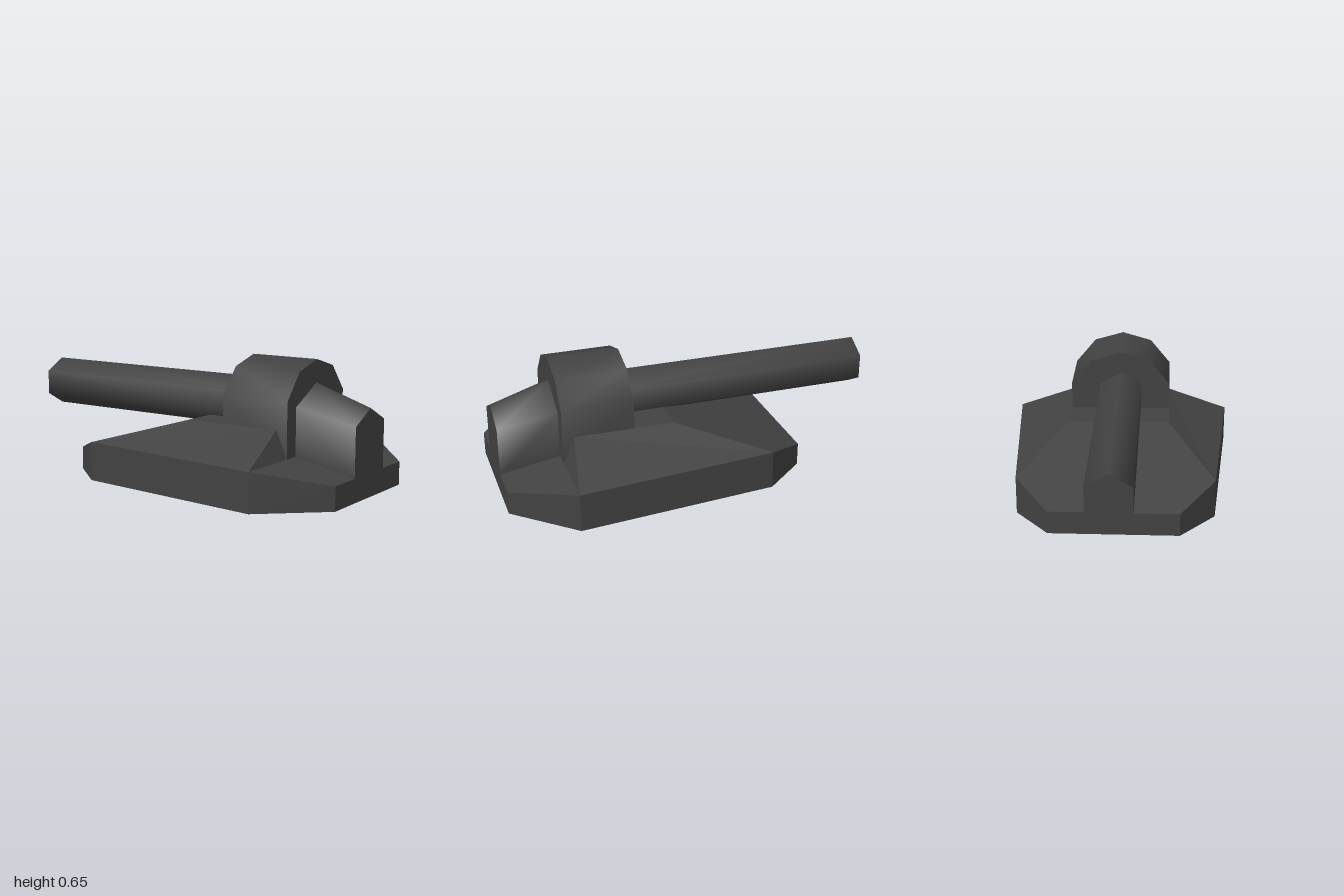
import * as THREE from 'three';
import { toCreasedNormals } from 'three/addons/utils/BufferGeometryUtils.js';

// Half a section (+x side) completed with its mirror image.
const mirrored = (half) => [...half, ...half.map(([x, y, z]) => [-x, y, z]).reverse()];
// Half a profile placed at depth z.
const at = (profile, z) => mirrored(profile.map(([x, y]) => [x, y, z]));

// Skin mirrored loops into a capped solid.
function loft(loops, crease) {
  const pos = [];
  const tri = (a, b, c) => {
    const [A, B, C] = [a, b, c].map((p) => new THREE.Vector3(...p));
    if (B.clone().sub(A).cross(C.clone().sub(A)).length() > 1e-7) pos.push(...a, ...b, ...c);
  };
  const n = loops[0].length;
  for (let s = 0; s < loops.length - 1; s++) {
    const a = loops[s], b = loops[s + 1];
    for (let i = 0; i < n; i++) {
      const j = (i + 1) % n;
      if (i < n / 2) { // diagonals mirror across the centre
        tri(a[i], a[j], b[i]);
        tri(a[j], b[j], b[i]);
      } else {
        tri(a[i], a[j], b[j]);
        tri(a[i], b[j], b[i]);
      }
    }
  }
  const first = loops[0], last = loops[loops.length - 1];
  for (let i = 0; i < n / 2 - 1; i++) {
    const k = n - 1 - i;
    tri(last[i], last[i + 1], last[k - 1]);
    tri(last[i], last[k - 1], last[k]);
    tri(first[i], first[k - 1], first[i + 1]);
    tri(first[i], first[k], first[k - 1]);
  }
  const g = new THREE.BufferGeometry();
  g.setAttribute('position', new THREE.Float32BufferAttribute(pos, 3));
  g.computeVertexNormals();
  return crease ? toCreasedNormals(g, crease) : g;
}

export function createModel() {
  const group = new THREE.Group();
  const metal = new THREE.MeshStandardMaterial({ color: 0x424242 });
  metal.name = 'dark gunmetal';
  const add = (name, geometry) => {
    const mesh = new THREE.Mesh(geometry, metal);
    mesh.name = name;
    group.add(mesh);
  };

  // Eight-sided base rising to a raised plateau
  const rim = [[0.33, 0.12, 1], [0.6, 0.197, 0.7], [0.51, 0.2, -0.33], [0.33, 0.12, -0.55]];
  const foot = rim.map(([x, , z]) => [x, 0, z]);
  const plateau = [[0.27, 0.197, 0.7], [0.27, 0.333, 0.64], [0.27, 0.33, 0.12], [0.27, 0.33, 0.12]];
  add('base', loft([foot, rim, plateau].map(mirrored)));

  // Faceted collar around the breech
  const collar = [[0.27, 0.19], [0.27, 0.475], [0.16, 0.608], [0, 0.654]];
  add('collar', loft([at(collar, 0.33), at(collar, 0.7)], 1.15));

  // Tapered breech at the front
  const breechWide = [[0.19, 0.195], [0.19, 0.44], [0, 0.538]];
  const breechNarrow = [[0.145, 0.12], [0.145, 0.368], [0, 0.44]];
  add('breech', loft([at(breechWide, 0.699), at(breechNarrow, 1)], 1.15));

  // Six-sided barrel
  const barrel = [[0, 0.28], [0.112, 0.345], [0.112, 0.475], [0, 0.54]];
  add('barrel', loft([at(barrel, -1), at(barrel, 0.34)], 1.15));

  return group;
}
